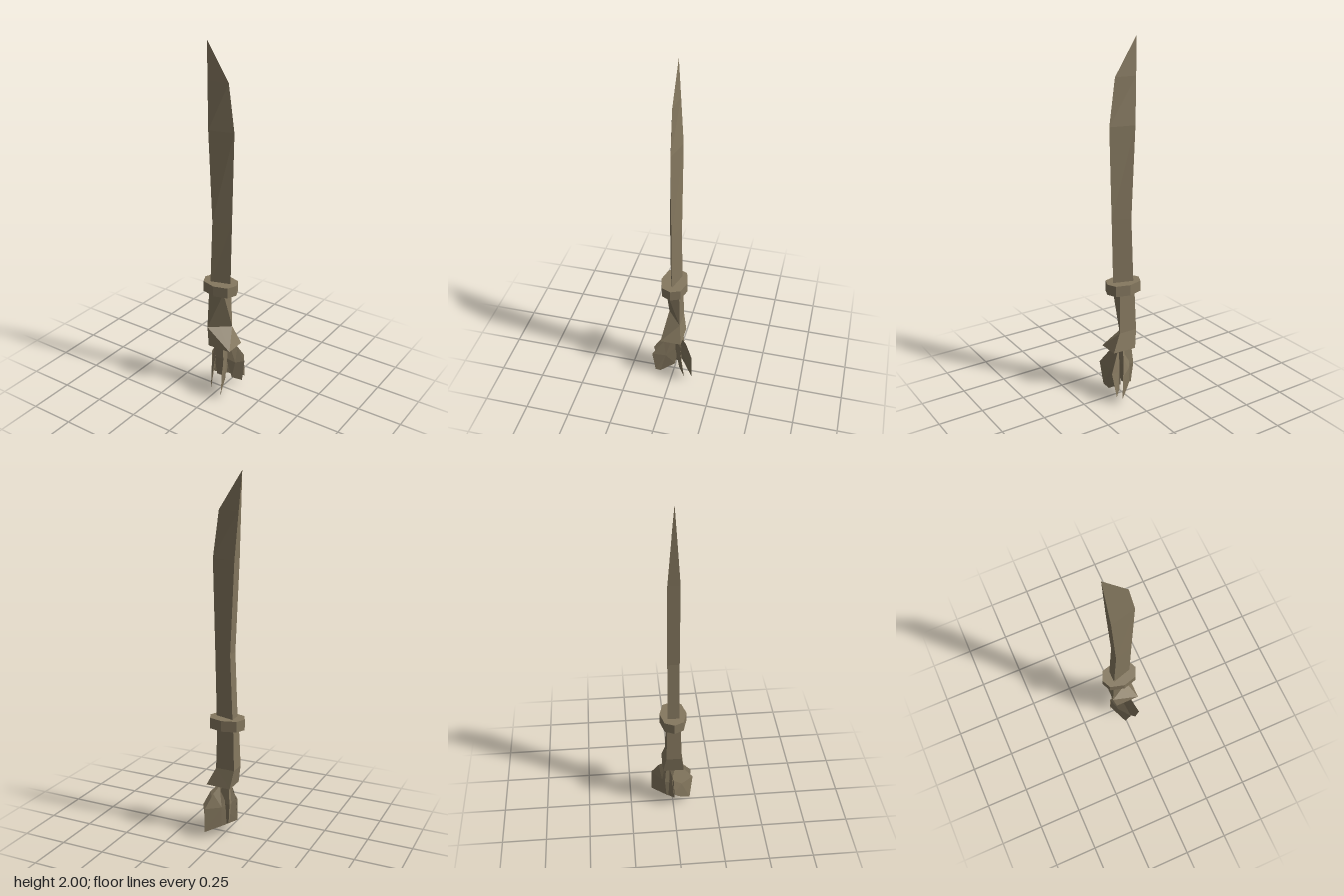
import * as THREE from 'three';

const bronze = new THREE.MeshStandardMaterial({ color: 0x85785f, flatShading: true });
bronze.name = 'agedBronze';
const bronzeSheet = new THREE.MeshStandardMaterial({ color: 0x85785f, flatShading: true, side: THREE.DoubleSide });
bronzeSheet.name = 'agedBronze';

function facetMesh(name, tris, material) {
  const g = new THREE.BufferGeometry();
  g.setAttribute('position', new THREE.Float32BufferAttribute(tris.flat(), 3));
  g.computeVertexNormals();
  const mesh = new THREE.Mesh(g, material);
  mesh.name = name;
  return mesh;
}

// Skin between rings, bottom to top; each ring runs counter-clockwise seen from above
function loft(name, rings, twist = false) {
  const tris = [];
  const n = rings[0].length;
  for (let i = 0; i < rings.length - 1; i++) {
    for (let k = 0; k < n; k++) {
      const m = (k + 1) % n;
      const a = rings[i][k], b = rings[i][m], c = rings[i + 1][m], d = rings[i + 1][k];
      if (!twist || (k + i) % 2) tris.push(a, b, c, a, c, d);
      else tris.push(a, b, d, b, c, d);
    }
  }
  const low = rings[0], top = rings[rings.length - 1];
  for (let k = 1; k < n - 1; k++) {
    tris.push(low[0], low[k + 1], low[k]);
    tris.push(top[0], top[k], top[k + 1]);
  }
  return facetMesh(name, tris, bronze);
}

// Thin lens-shaped leaf: an outline fanned to a raised centre on both sides
function leaf(name, outline, thickness) {
  const pts = outline.map((p) => new THREE.Vector3(...p));
  const centre = new THREE.Vector3();
  pts.forEach((p) => centre.addScaledVector(p, 1 / pts.length));
  const normal = new THREE.Vector3();
  pts.forEach((p, i) => {
    const q = pts[(i + 1) % pts.length];
    normal.add(p.clone().sub(centre).cross(q.clone().sub(centre)));
  });
  normal.normalize();
  const tris = [];
  for (const s of [1, -1]) {
    const c = centre.clone().addScaledVector(normal, s * thickness).toArray();
    outline.forEach((p, i) => {
      const q = outline[(i + 1) % outline.length];
      if (s > 0) tris.push(c, p, q);
      else tris.push(c, q, p);
    });
  }
  return facetMesh(name, tris, bronzeSheet);
}

export function createModel() {
  const group = new THREE.Group();
  group.name = 'sword';

  // Blade: wedge section with a flat spine; rows are y, spine x, half spine width, edge x
  const blade = [
    [0.67, -0.055, 0.033, 0.055],
    [1.05, -0.04, 0.033, 0.063],
    [1.55, -0.063, 0.033, 0.075],
    [1.8, -0.078, 0.015, 0.04],
    [2.0, -0.09, 0, -0.09],
  ].map(([y, s, w, e]) => [[e, y, 0], [s, y, -w], [s, y, w]]);
  group.add(loft('blade', blade));

  // Guard: elongated eight-sided collar
  const collar = [[0.093, 0], [0.07, -0.053], [-0.007, -0.075], [-0.087, -0.053],
    [-0.112, 0], [-0.087, 0.053], [-0.007, 0.075], [0.07, 0.053]];
  group.add(loft('guard', [0.63, 0.69].map((y) => collar.map(([x, z]) => [x, y, z]))));

  // Grip: square top twisting into a three-cornered waist and flared foot
  group.add(loft('grip', [
    [[0.09, 0.3, -0.06], [-0.05, 0.295, -0.06], [-0.05, 0.295, 0.06], [0.09, 0.3, 0.06]],
    [[0.04, 0.4, -0.042], [-0.068, 0.4, -0.042], [-0.068, 0.4, 0.046], [-0.014, 0.4, 0.002]],
    [[0.035, 0.64, -0.036], [-0.06, 0.64, -0.036], [-0.06, 0.64, 0.038], [0.035, 0.64, 0.038]],
  ], true));

  // Pommel: curled leaves hanging beneath the grip
  group.add(leaf('innerLeaf', [[-0.03, 0.295, 0.01], [0, 0.26, 0.06], [0.018, 0.17, 0.12],
    [-0.01, 0.03, 0.1], [-0.05, 0.08, 0.03], [-0.07, 0.12, 0], [-0.065, 0.23, -0.01]], 0.008));
  group.add(leaf('outerLeaf', [[0.035, 0.3, 0], [0.05, 0.26, 0.05], [0.075, 0.17, 0.115],
    [0.06, 0.03, 0.1], [0.04, 0.005, 0.075], [0.015, 0.06, -0.01], [0.02, 0.22, -0.03]], 0.008));
  group.add(leaf('backLeaf', [[0.02, 0.295, -0.04], [-0.04, 0.29, -0.02], [-0.07, 0.22, 0],
    [-0.07, 0.09, 0.005], [0, 0.065, -0.06], [0.075, 0.04, -0.122], [0.07, 0.18, -0.122],
    [0.04, 0.26, -0.08]], 0.012));
  group.add(leaf('sideLeaf', [[0.035, 0.295, -0.02], [0.07, 0.26, -0.05], [0.108, 0.18, -0.068],
    [0.085, 0.035, -0.08], [0.04, 0.06, -0.04], [0.02, 0.2, -0.01]], 0.01));
  // Stem joining the leaves to the grip
  group.add(loft('leafStem', [[0.08, 0.02], [0.2, 0.03], [0.3, 0.022]].map(([y, r]) =>
    [[r, y, -r], [-r, y, -r], [-r, y, r], [r, y, r]].map(([x, h, z]) => [x - 0.015, h, z - 0.02]))));

  return group;
}
